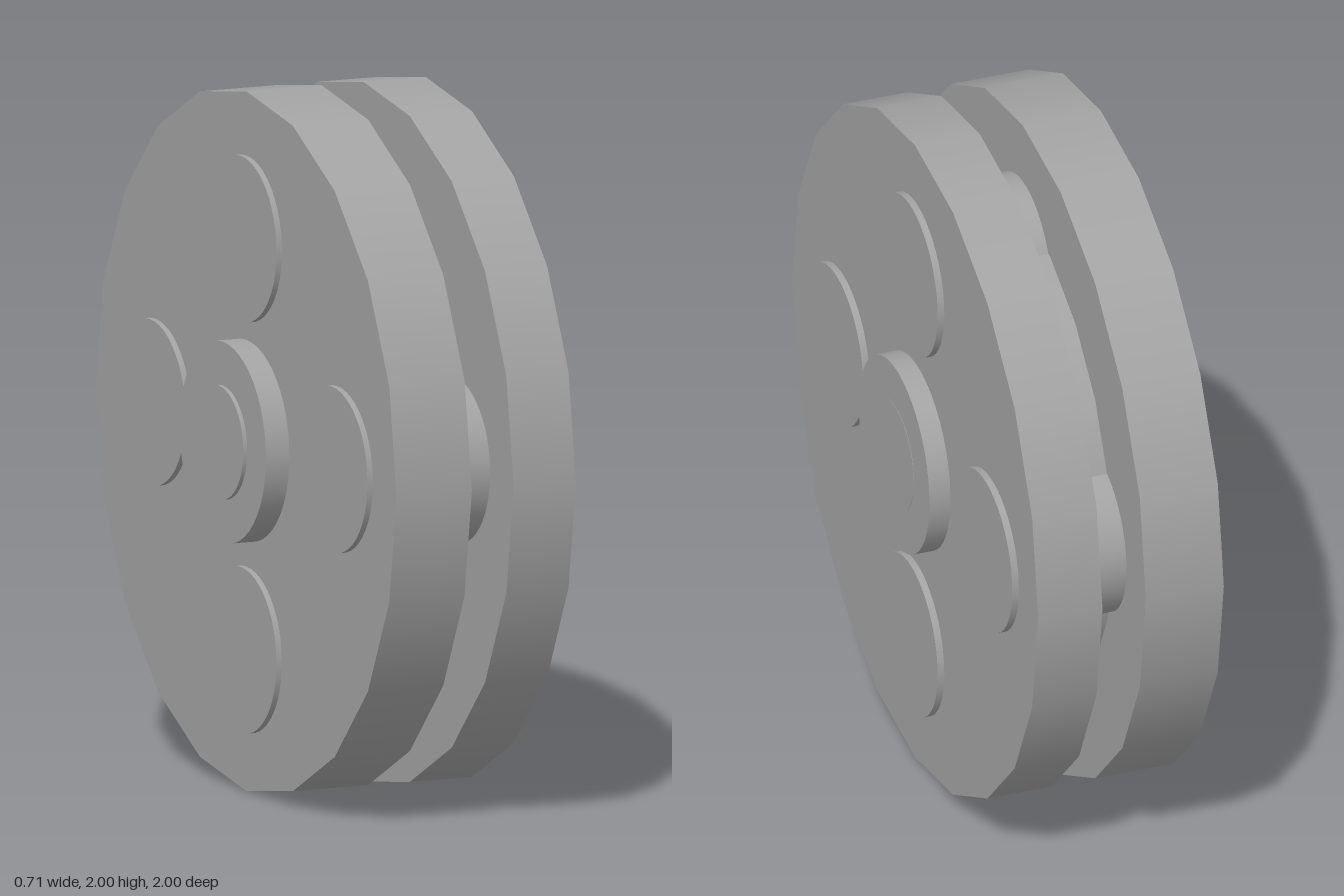
import * as THREE from 'three';

export function createModel() {
  const model = new THREE.Group();
  const grey = new THREE.MeshStandardMaterial({ color: 0xa3a3a3 });
  grey.name = 'grey';

  // Cylinder lying along x, from x0 to x1, centred at (y, z)
  function disc(name, radius, x0, x1, sides, y = 1, z = 0) {
    const geometry = new THREE.CylinderGeometry(radius, radius, x1 - x0, sides);
    geometry.rotateZ(-Math.PI / 2);
    const mesh = new THREE.Mesh(geometry, grey);
    mesh.name = name;
    mesh.position.set((x0 + x1) / 2, y, z);
    model.add(mesh);
  }

  // Two outer wheels with a smaller spacer between them
  disc('rightWheel', 1, -0.27, -0.036, 20);
  disc('spacer', 0.728, -0.036, 0.088, 20);
  disc('leftWheel', 1, 0.094, 0.287, 20);

  // Hub and axle running through the middle
  disc('hub', 0.287, -0.343, 0.35, 48, 1.003);
  disc('axle', 0.162, -0.355, 0.351, 48, 1.003);

  // Four round bosses passing through both wheels
  const bosses = [[1.58, 0], [0.405, 0], [1.017, 0.606], [1.017, -0.606]];
  for (const [y, z] of bosses) {
    disc('boss', 0.237, -0.287, 0.307, 48, y, z);
  }

  return model;
}
